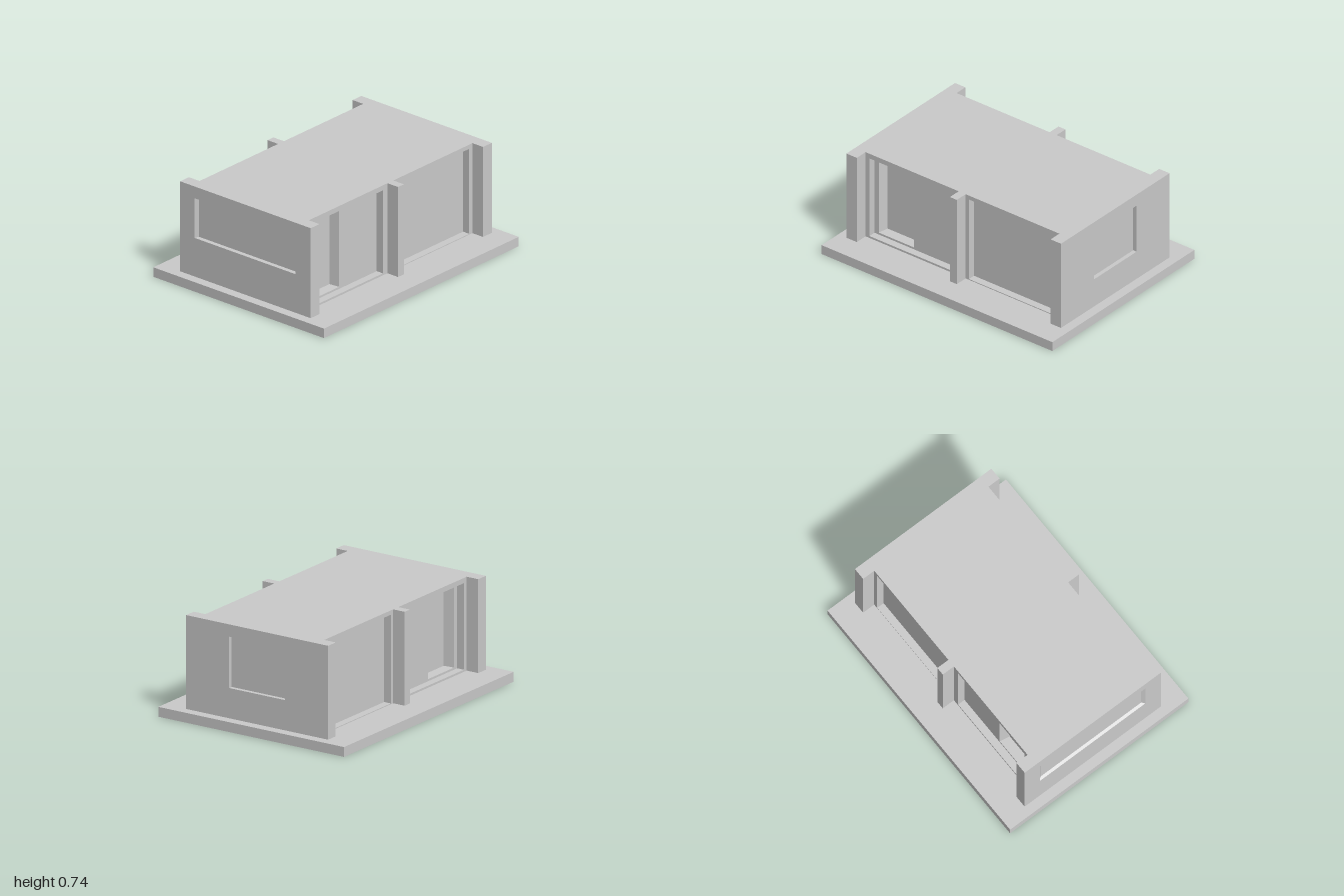
import * as THREE from 'three';

const material = new THREE.MeshStandardMaterial({ color: 0xcccccc, flatShading: true });

function add(parent, name, geometry) {
  const mesh = new THREE.Mesh(geometry, material);
  mesh.name = name;
  parent.add(mesh);
  return mesh;
}

// Box given by its limits on each axis
function block(parent, name, [x0, x1], [y0, y1], [z0, z1]) {
  const mesh = add(parent, name, new THREE.BoxGeometry(x1 - x0, y1 - y0, z1 - z0));
  mesh.position.set((x0 + x1) / 2, (y0 + y1) / 2, (z0 + z1) / 2);
  return mesh;
}

const corners = ([x0, x1, y0, y1]) => [[x0, y0], [x1, y0], [x1, y1], [x0, y1]];

// Flat plate with rectangular openings, facing local +z
function plate(parent, name, rect, holes, depth) {
  const toPoints = (r) => corners(r).map(([x, y]) => new THREE.Vector2(x, y));
  const shape = new THREE.Shape(toPoints(rect));
  for (const hole of holes) shape.holes.push(new THREE.Path(toPoints(hole).reverse()));
  return add(parent, name, new THREE.ExtrudeGeometry(shape, { depth, bevelEnabled: false }));
}

// Four splayed faces that narrow from the opening to the pane behind it
function reveal(parent, name, rect, insetX, insetY, depth) {
  const [x0, x1, y0, y1] = rect;
  const outer = corners(rect).map((p) => [...p, depth]);
  const inner = corners([x0 + insetX, x1 - insetX, y0 + insetY, y1 - insetY]).map((p) => [...p, 0]);
  const positions = [];
  for (let i = 0; i < 4; i++) {
    const j = (i + 1) % 4;
    positions.push(...outer[i], ...outer[j], ...inner[j], ...outer[i], ...inner[j], ...inner[i]);
  }
  const geometry = new THREE.BufferGeometry();
  geometry.setAttribute('position', new THREE.Float32BufferAttribute(positions, 3));
  geometry.computeVertexNormals();
  return add(parent, name, geometry);
}

export function createModel() {
  const model = new THREE.Group();
  model.name = 'building';
  const floor = 0.07, top = 0.737;
  const wallInner = 0.84, wallOuter = 0.93, halfWall = 0.585;

  block(model, 'baseSlab', [-0.765, 0.765], [0, floor], [-1, 1]);
  block(model, 'core', [-0.36, 0.36], [floor, top], [-wallInner, wallInner]);

  // End walls, each with a recessed window
  const ends = [
    { name: 'front', turn: 0, window: [-0.455, 0.45, 0.356, 0.65], inset: [0.02, 0.008], depth: 0.02 },
    { name: 'back', turn: Math.PI, window: [-0.23, 0.23, 0.285, 0.65], inset: [0, 0], depth: 0.03 },
  ];
  for (const { name, turn, window, inset, depth } of ends) {
    const end = new THREE.Group();
    end.name = name + 'Wall';
    end.rotation.y = turn;
    const face = wallOuter - depth;
    block(end, name + 'WallBacking', [-halfWall, halfWall], [floor, top], [wallInner, face]);
    plate(end, name + 'WallFace', [-halfWall, halfWall, floor, top], [window], depth).position.z = face;
    reveal(end, name + 'WindowReveal', window, ...inset, depth).position.z = face;
    model.add(end);
  }

  // Long sides: bay frame, panel with a door recess, and middle pier
  for (const s of [1, -1]) {
    const side = new THREE.Group();
    side.name = s > 0 ? 'leftSide' : 'rightSide';
    side.rotation.y = s * Math.PI / 2;
    // Turns a span in z into the local x of this side
    const rect = (za, zb, y0, y1) => [Math.min(-s * za, -s * zb), Math.max(-s * za, -s * zb), y0, y1];
    const whole = rect(-wallInner, wallInner, floor, top);
    const door = rect(0.465, 0.77, 0.1, 0.682);
    const bays = [rect(0.08, 0.807, 0.085, 0.7), rect(-0.807, -0.055, 0.076, 0.706)];

    plate(side, 'sidePanel', whole, [door], 0.075).position.z = 0.36;
    reveal(side, 'doorReveal', door, 0.015, 0.003, 0.075).position.z = 0.36;
    plate(side, 'bayFrame', whole, bays, 0.055).position.z = 0.435;
    block(side, 'middlePier', rect(-0.027, 0.033, 0, 0).slice(0, 2), [floor, top], [0.49, halfWall]);
    model.add(side);
  }
  return model;
}
